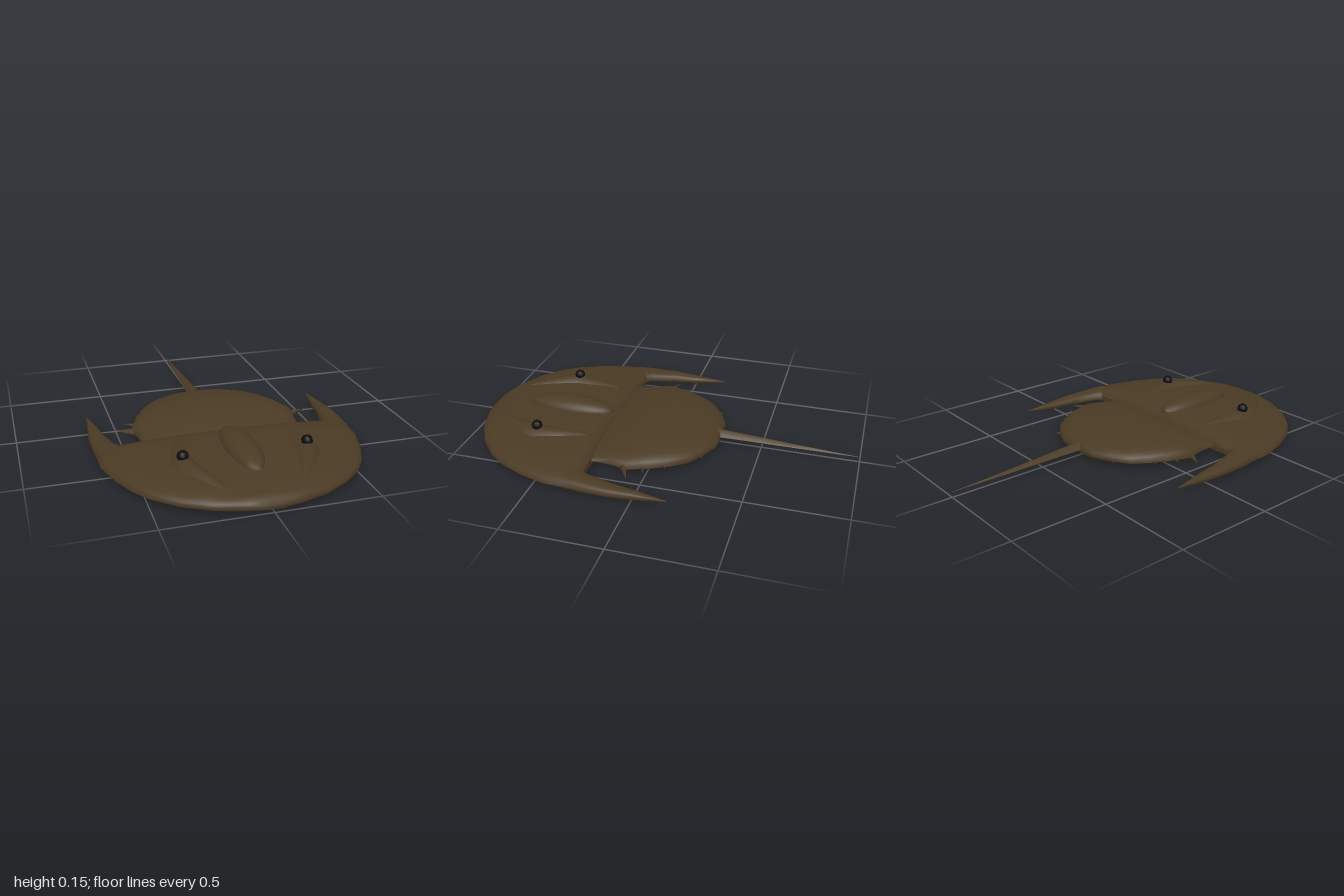
import * as THREE from 'three';
import { toCreasedNormals } from 'three/addons/utils/BufferGeometryUtils.js';

const shellMat = new THREE.MeshStandardMaterial({ color: 0x4a3a24 });
shellMat.name = 'shellBrown';
const eyeMat = new THREE.MeshStandardMaterial({ color: 0x0b0b0c });
eyeMat.name = 'eyeBlack';

// Skins lens-shaped sections [z, xLeft, xRight, yEdge, yTop, yBottom], listed from front to back.
function loft(sections, { steps = 20, p = 2.5, q = 0.4, crease = 0.7 } = {}) {
  const pos = [], idx = [], ring = steps * 2;
  for (const [z, x0, x1, edge, top, bottom] of sections) {
    for (let j = 0; j < ring; j++) {
      const s = -Math.cos((j / steps) * Math.PI);
      const k = Math.pow(Math.max(0, 1 - Math.pow(Math.abs(s), p)), q);
      const y = edge + ((j <= steps ? top : bottom) - edge) * k;
      pos.push((x0 + x1) / 2 + (s * (x1 - x0)) / 2, y, z);
    }
  }
  for (let i = 0; i < sections.length - 1; i++) {
    for (let j = 0; j < ring; j++) {
      const a = i * ring + j, b = i * ring + ((j + 1) % ring);
      idx.push(a, b, a + ring, b, b + ring, a + ring);
    }
  }
  const last = (sections.length - 1) * ring;
  for (let j = 1; j < ring - 1; j++) {
    idx.push(0, j + 1, j, last, last + j, last + j + 1);
  }
  const g = new THREE.BufferGeometry();
  g.setAttribute('position', new THREE.Float32BufferAttribute(pos, 3));
  g.setIndex(idx);
  return toCreasedNormals(g, crease);
}

// Symmetric section given by its half width.
const sym = ([z, w, edge, top, bottom]) => [z, -w, w, edge, top, bottom];
// Section for the given side of the body.
const sided = (side) => ([z, a, b, ...ys]) => (side > 0 ? [z, a, b, ...ys] : [z, -b, -a, ...ys]);

export function createModel() {
  const model = new THREE.Group();
  model.name = 'horseshoeCrab';
  const add = (name, geometry, material = shellMat) => {
    const mesh = new THREE.Mesh(geometry, material);
    mesh.name = name;
    model.add(mesh);
    return mesh;
  };

  // Front shield
  add('frontShield', loft([
    [1.0, 0.07, 0.028, 0.04, 0.018],
    [0.985, 0.14, 0.027, 0.058, 0.012],
    [0.95, 0.26, 0.026, 0.07, 0.01],
    [0.88, 0.385, 0.025, 0.082, 0.009],
    [0.79, 0.485, 0.024, 0.091, 0.009],
    [0.7, 0.548, 0.023, 0.095, 0.009],
    [0.58, 0.602, 0.022, 0.098, 0.009],
    [0.44, 0.643, 0.022, 0.098, 0.008],
    [0.34, 0.648, 0.022, 0.095, 0.007],
    [0.3, 0.65, 0.022, 0.08, 0.008],
    [0.28, 0.648, 0.022, 0.052, 0.012],
  ].map(sym), { steps: 28 }));

  // Rear shield
  add('rearShield', loft([
    [0.32, 0.42, 0.032, 0.055, 0.018],
    [0.25, 0.41, 0.032, 0.075, 0.016],
    [0.18, 0.415, 0.032, 0.1, 0.016],
    [0.09, 0.435, 0.032, 0.112, 0.016],
    [-0.02, 0.395, 0.032, 0.115, 0.016],
    [-0.1, 0.355, 0.032, 0.108, 0.016],
    [-0.18, 0.3, 0.032, 0.096, 0.017],
    [-0.24, 0.215, 0.034, 0.082, 0.018],
    [-0.28, 0.13, 0.036, 0.068, 0.02],
    [-0.288, 0.11, 0.04, 0.055, 0.028],
  ].map(sym), { steps: 24 }));

  // Tail spine
  add('tailSpine', loft([
    [-0.24, 0.045, 0.045, 0.076, 0.024],
    [-0.29, 0.034, 0.045, 0.073, 0.026],
    [-0.45, 0.027, 0.042, 0.063, 0.026],
    [-0.65, 0.017, 0.036, 0.049, 0.026],
    [-0.85, 0.008, 0.031, 0.037, 0.026],
    [-1.0, 0.001, 0.028, 0.029, 0.027],
  ].map(sym), { steps: 6, p: 1.6, q: 0.8 }));

  // Central ridge
  const ridge = add('centralRidge', new THREE.SphereGeometry(1, 24, 16));
  ridge.scale.set(0.083, 0.06, 0.24);
  ridge.position.set(0, 0.087, 0.545);

  for (const side of [1, -1]) {
    const label = side > 0 ? 'left' : 'right';

    // Swept-back horn at the shield corner
    add(label + 'Horn', loft([
      [0.36, 0.46, 0.647, 0.022, 0.066, 0.006],
      [0.28, 0.51, 0.651, 0.022, 0.063, 0.003],
      [0.26, 0.53, 0.653, 0.022, 0.06, 0.002],
      [0.12, 0.57, 0.656, 0.022, 0.052, 0.001],
      [0.0, 0.589, 0.644, 0.022, 0.044, 0.002],
      [-0.08, 0.605, 0.635, 0.023, 0.036, 0.01],
      [-0.17, 0.623, 0.627, 0.025, 0.027, 0.022],
    ].map(sided(side)), { steps: 10 }));

    // Low ridge carrying the eye
    add(label + 'EyeRidge', loft([
      [0.89, 0.16, 0.19, 0.072, 0.078, 0.065],
      [0.8, 0.185, 0.26, 0.08, 0.1, 0.07],
      [0.7, 0.215, 0.33, 0.084, 0.113, 0.07],
      [0.62, 0.24, 0.36, 0.084, 0.12, 0.07],
      [0.5, 0.24, 0.335, 0.084, 0.11, 0.07],
      [0.36, 0.24, 0.29, 0.085, 0.096, 0.07],
    ].map(sided(side)), { steps: 10, p: 2, q: 1, crease: 1 }));

    // Eye
    add(label + 'Eye', new THREE.SphereGeometry(0.028, 10, 8), eyeMat)
      .position.set(side * 0.3, 0.123, 0.615);

    // Edge spikes: base x, z, tip x, z, radius
    [
      [0.41, 0.115, 0.515, 0.065, 0.02],
      [0.385, 0.025, 0.455, 0.0, 0.013],
      [0.34, -0.065, 0.385, -0.095, 0.012],
      [0.2, -0.215, 0.25, -0.25, 0.014],
    ].forEach(([bx, bz, tx, tz, r], i) => {
      const base = new THREE.Vector3(side * bx, 0.034, bz);
      const tip = new THREE.Vector3(side * tx, 0.036, tz);
      const dir = tip.clone().sub(base);
      const spike = add(label + 'Spike' + (i + 1), new THREE.ConeGeometry(r, dir.length(), 6));
      spike.position.copy(base).add(tip).multiplyScalar(0.5);
      spike.quaternion.setFromUnitVectors(new THREE.Vector3(0, 1, 0), dir.normalize());
    });
  }
  return model;
}
